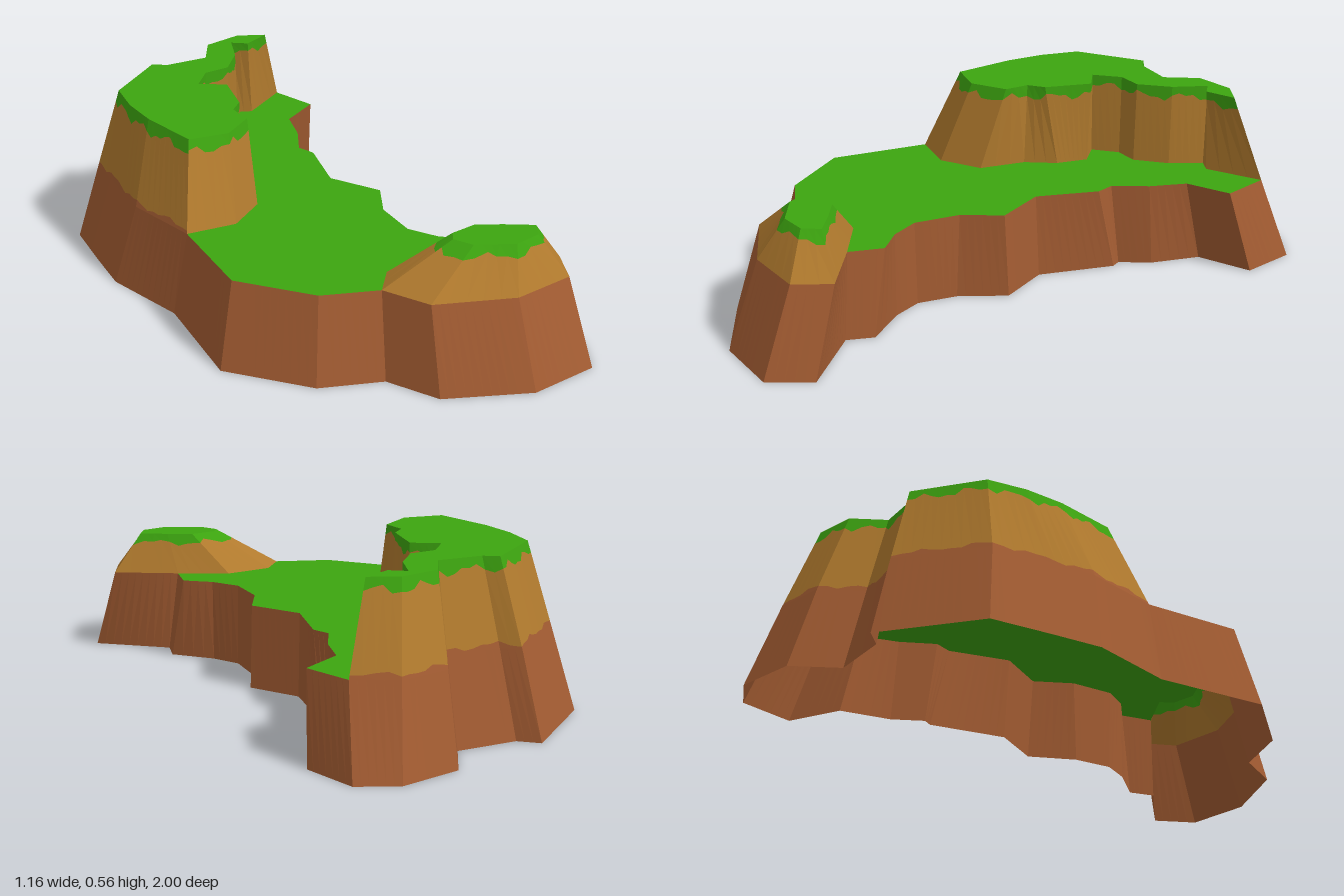
import * as THREE from 'three';

const mat = (name, color) => Object.assign(new THREE.MeshStandardMaterial({ color, side: THREE.DoubleSide }), { name });

// Heights: ground, plateau, knoll top, upper terrace top
const PLATEAU = 0.28, KNOLL = 0.415, TOP = 0.555;

// Each row: lower x, z, then upper x, z (clockwise seen from above)
const BASE = [
  [0.38, -0.945, 0.345, -0.845], [0.437, -0.76, 0.405, -0.685], [0.27, -0.66, 0.27, -0.6],
  [0.245, -0.49, 0.24, -0.475], [0.195, -0.39, 0.185, -0.36], [0.215, -0.36, 0.21, -0.3],
  [0.175, -0.1, 0.165, -0.09], [0.28, 0.06, 0.268, 0.07], [0.215, 0.215, 0.205, 0.2],
  [0.21, 0.35, 0.205, 0.355], [0.265, 0.445, 0.265, 0.445], [0.38, 0.56, 0.35, 0.51],
  [0.36, 0.65, 0.33, 0.625], [0.58, 0.82, 0.53, 0.735], [0.515, 0.96, 0.48, 0.855],
  [0.28, 0.995, 0.27, 0.89], [0.005, 0.89, 0.015, 0.805], [-0.09, 0.73, -0.07, 0.66],
  [-0.295, 0.665, -0.255, 0.6], [-0.51, 0.44, -0.445, 0.395], [-0.495, 0.055, -0.44, 0.055],
  [-0.585, -0.23, -0.51, -0.2], [-0.58, -0.4, -0.505, -0.37], [-0.57, -0.605, -0.5, -0.56],
  [-0.3, -0.845, -0.265, -0.775], [-0.24, -0.795, -0.21, -0.735], [-0.035, -0.8, -0.03, -0.735],
  [0.045, -0.95, 0.04, -0.87], [0.25, -1, 0.21, -0.91],
];
// Outer part of the terrace rises from the base rim, inner part stands on the plateau
const TERRACE_OUTER = [
  [-0.44, 0.055, -0.375, -0.055], [-0.51, -0.2, -0.425, -0.265], [-0.505, -0.37, -0.435, -0.4],
  [-0.5, -0.56, -0.42, -0.535], [-0.265, -0.775, -0.225, -0.7], [-0.21, -0.735, -0.18, -0.67],
  [-0.03, -0.735, -0.03, -0.67], [0.04, -0.87, 0.03, -0.78], [0.21, -0.91, 0.165, -0.815],
  [0.345, -0.845, 0.26, -0.775],
];
const TERRACE_INNER = [
  [0.18, -0.73, 0.165, -0.725], [0.125, -0.75, 0.115, -0.76], [0.08, -0.64, 0.075, -0.645],
  [0, -0.545, 0, -0.55], [-0.085, -0.535, -0.09, -0.54], [-0.15, -0.46, -0.155, -0.46],
  [-0.07, -0.4, -0.07, -0.41], [-0.08, -0.29, -0.1, -0.25], [-0.135, -0.19, -0.145, -0.205],
  [-0.145, -0.03, -0.135, -0.12], [-0.27, 0.065, -0.24, -0.04],
];
const KNOB = [
  [-0.07, 0.66, 0.155, 0.695], [0, 0.57, 0.175, 0.66], [0.165, 0.545, 0.265, 0.645],
  [0.33, 0.625, 0.345, 0.685], [0.53, 0.735, 0.43, 0.735], [0.48, 0.855, 0.4, 0.79],
  [0.27, 0.89, 0.31, 0.81], [0.015, 0.805, 0.19, 0.755],
];

// Sloped wall between two outlines, limited to the band between two height rules
function wall(rows, y0, y1, from, to) {
  const pos = [];
  let run = 0;
  rows.forEach((a, i) => {
    const b = rows[(i + 1) % rows.length];
    const length = Math.hypot(b[2] - a[2], b[3] - a[3]);
    const steps = Math.max(1, Math.round(length / 0.025));
    const point = (k, rule) => {
      const row = a.map((v, j) => v + (b[j] - v) * k / steps);
      const f = rule(run + length * k / steps, i);
      return [row[0] + (row[2] - row[0]) * f, y0 + (y1 - y0) * f, row[1] + (row[3] - row[1]) * f];
    };
    for (let k = 0; k < steps; k++) {
      const p = point(k, from), q = point(k, to), r = point(k + 1, to), s = point(k + 1, from);
      pos.push(...p, ...q, ...r, ...p, ...r, ...s);
    }
    run += length;
  });
  const geometry = new THREE.BufferGeometry();
  geometry.setAttribute('position', new THREE.Float32BufferAttribute(pos, 3));
  geometry.computeVertexNormals();
  return geometry;
}

// Flat top filling an outline
function cap(points, y) {
  const shape = new THREE.Shape(points.map(([x, z]) => new THREE.Vector2(x, -z)));
  return new THREE.ShapeGeometry(shape).rotateX(-Math.PI / 2).translate(0, y, 0);
}

export function createModel() {
  const model = new THREE.Group();
  model.name = 'terracedCliff';
  const grass = mat('grass', 0x3da510);
  const ochre = mat('ochreRock', 0xb27b2e);
  const brown = mat('brownRock', 0xa35c32);
  const add = (name, geometry, material) => {
    const mesh = new THREE.Mesh(geometry, material);
    mesh.name = name;
    model.add(mesh);
  };
  const low = r => r.slice(0, 2), high = r => r.slice(2);
  const bottom = () => 0, top = () => 1;
  const ripple = s => 0.011 * Math.sin(s * 43) + 0.007 * Math.sin(s * 97 + 1);

  // Brown base, open underneath
  add('baseWall', wall(BASE, 0, PLATEAU, bottom, top), brown);

  // Grassy plateau running around the terrace and knoll feet
  const plateau = [
    ...BASE.slice(0, 13).map(high), ...KNOB.slice(0, 3).map(low).reverse(),
    ...BASE.slice(18, 21).map(high), ...TERRACE_INNER.map(low).reverse(),
  ];
  add('plateauGrass', cap(plateau, PLATEAU), grass);

  // Upper terrace: brown fringe on the outer side, ochre rock, grass drips, grass top
  const terrace = [...TERRACE_OUTER, ...TERRACE_INNER];
  const outerEdges = TERRACE_OUTER.length - 1;
  const terraceFringe = (s, i) => (i < outerEdges ? 0.05 + ripple(s + 2) * 2 : 0);
  const terraceDrip = s => 1 - (0.036 + ripple(s)) / (TOP - PLATEAU);
  add('terraceFoot', wall(terrace, PLATEAU, TOP, bottom, terraceFringe), brown);
  add('terraceRock', wall(terrace, PLATEAU, TOP, terraceFringe, terraceDrip), ochre);
  add('terraceGrassEdge', wall(terrace, PLATEAU, TOP, terraceDrip, top), grass);
  add('terraceGrass', cap(terrace.map(high), TOP), grass);

  // Front knoll
  const knollDrip = s => 1 - (0.03 + ripple(s) * 0.7) / (KNOLL - PLATEAU);
  add('knollRock', wall(KNOB, PLATEAU, KNOLL, bottom, knollDrip), ochre);
  add('knollGrassEdge', wall(KNOB, PLATEAU, KNOLL, knollDrip, top), grass);
  add('knollGrass', cap(KNOB.map(high), KNOLL), grass);

  return model;
}
